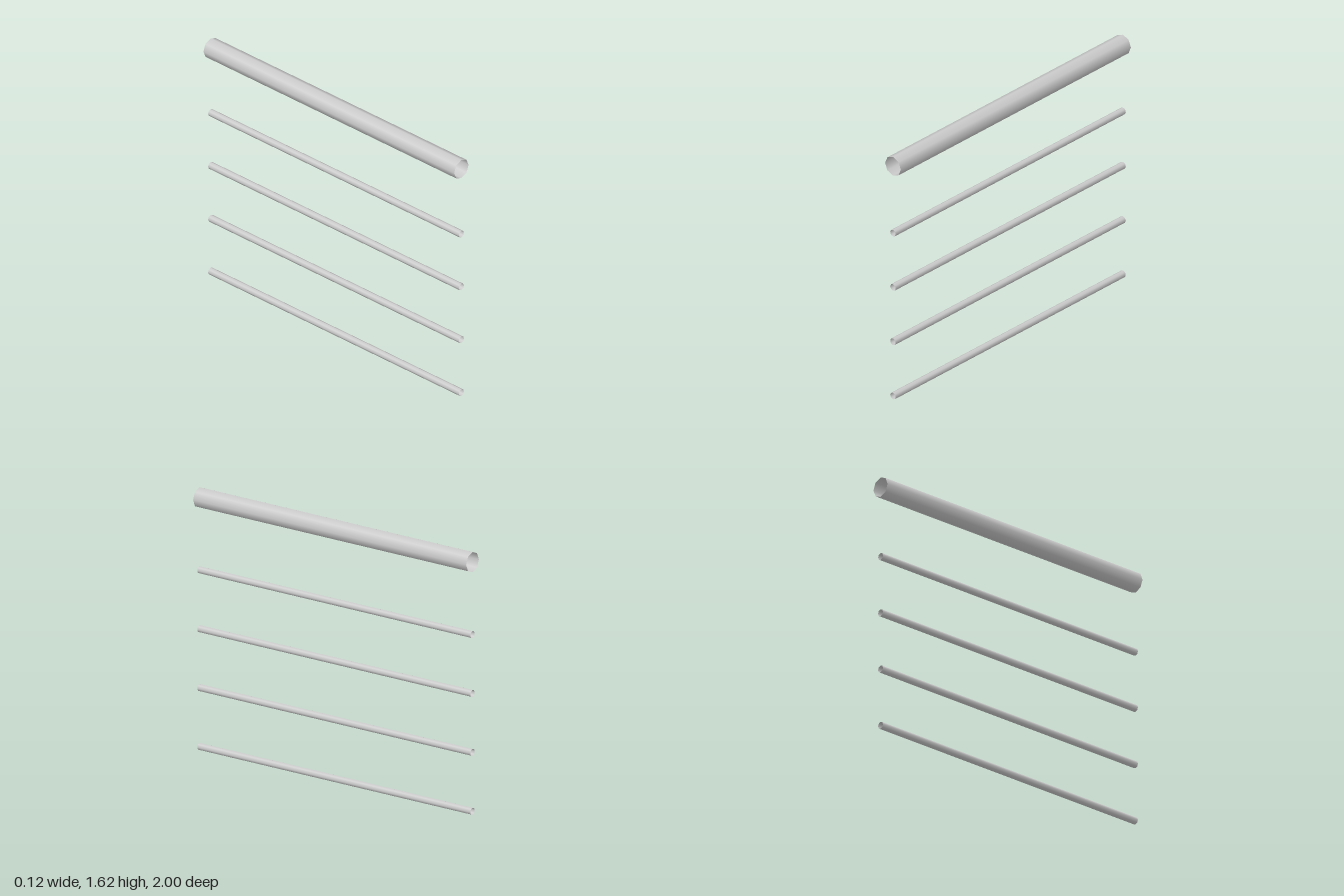
import * as THREE from 'three';

const LENGTH = 2;
const SIDES = 8;

export function createModel() {
  const group = new THREE.Group();
  const material = new THREE.MeshStandardMaterial({ color: 0xcccccc, side: THREE.DoubleSide });

  // Open-ended hollow bar running front to back
  const addBar = (name, radius, y) => {
    const geometry = new THREE.CylinderGeometry(radius, radius, LENGTH, SIDES, 1, true);
    geometry.rotateX(Math.PI / 2);
    const bar = new THREE.Mesh(geometry, material);
    bar.name = name;
    bar.position.y = y;
    group.add(bar);
  };

  // Four evenly spaced thin rails
  const railRadius = 0.022;
  for (let i = 0; i < 4; i++) addBar(`rail${i + 1}`, railRadius, railRadius + i * 0.364);

  // Thick handrail on top
  addBar('handrail', 0.0625, 1.562);

  return group;
}
